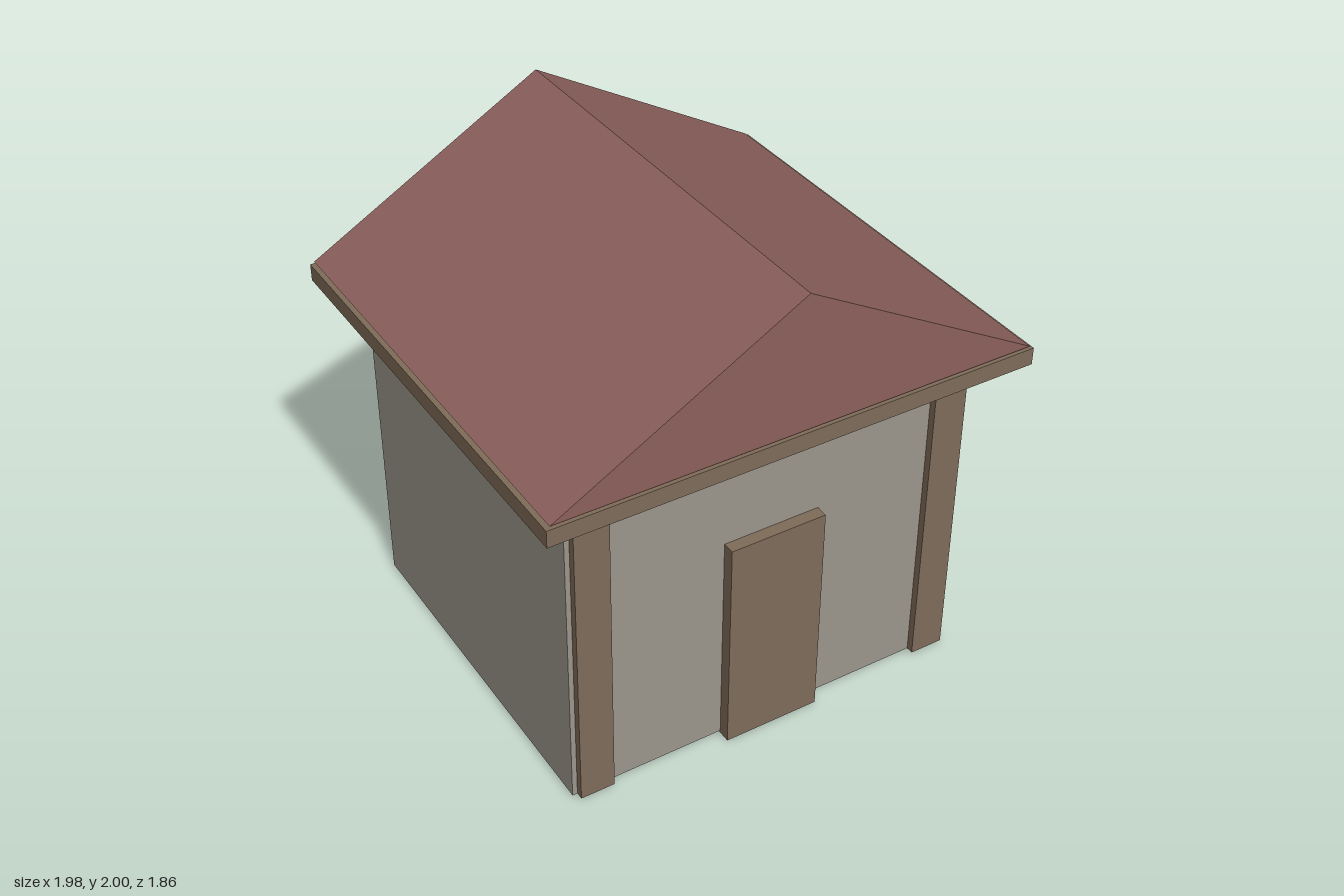
import * as THREE from 'three';

const paint = (color) => new THREE.MeshStandardMaterial({ color, flatShading: true });

export function createModel() {
  const house = new THREE.Group();
  house.name = 'house';
  const plaster = paint(0x9d978d);
  const wood = paint(0x806c5a);
  const tile = paint(0x8c605c);

  // Box given by its size, its bottom height and its centre in plan
  function addBox(name, material, [w, h, d], x, bottom, z) {
    const mesh = new THREE.Mesh(new THREE.BoxGeometry(w, h, d), material);
    mesh.name = name;
    mesh.position.set(x, bottom + h / 2, z);
    house.add(mesh);
  }

  addBox('walls', plaster, [1.68, 1.39, 1.52], 0, 0.01, 0);
  addBox('eavesSlab', wood, [1.98, 0.07, 1.86], 0, 1.37, 0);
  addBox('door', wood, [0.4, 0.925, 0.06], 0, 0, 0.78);

  // Corner posts, standing proud of the front and back walls
  for (const x of [-1, 1]) {
    for (const z of [-1, 1]) {
      const name = (z > 0 ? 'front' : 'back') + (x > 0 ? 'Left' : 'Right') + 'Post';
      addBox(name, wood, [0.14, 1.44, 0.14], x * 0.75, 0.01, z * 0.72);
    }
  }

  // Gable roof: a triangular prism running front to back
  const gable = new THREE.Shape([
    new THREE.Vector2(-0.975, 1.45),
    new THREE.Vector2(0.975, 1.45),
    new THREE.Vector2(0, 2),
  ]);
  const roofGeometry = new THREE.ExtrudeGeometry(gable, { depth: 1.85, bevelEnabled: false });
  roofGeometry.translate(0, 0, -0.925);
  const roof = new THREE.Mesh(roofGeometry, tile);
  roof.name = 'gableRoof';
  house.add(roof);

  return house;
}
